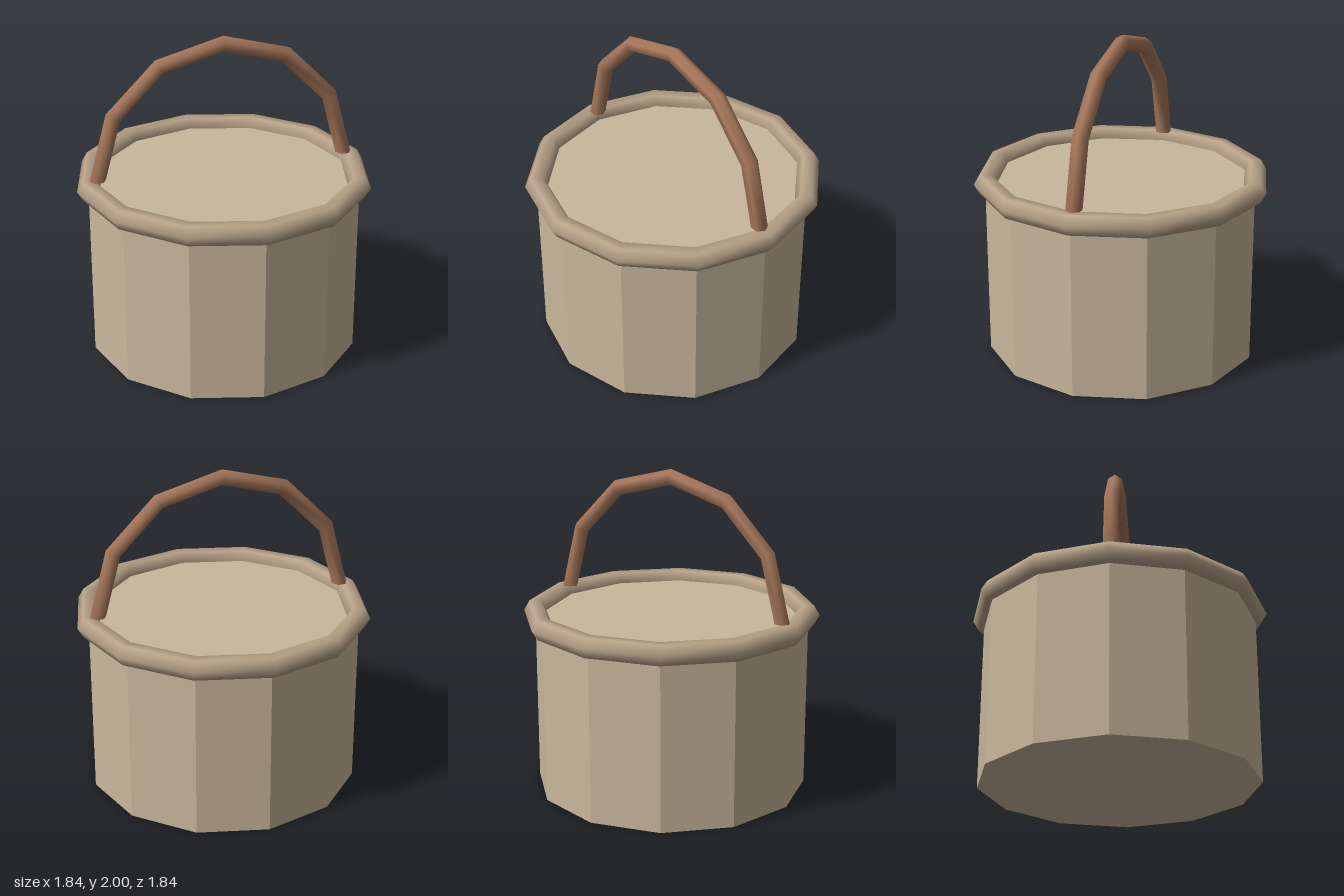
import * as THREE from 'three';

export function createModel() {
  const basket = new THREE.Group();
  basket.name = 'basket';

  const add = (name, geometry, options, y) => {
    const mesh = new THREE.Mesh(geometry, new THREE.MeshStandardMaterial(options));
    mesh.name = name;
    mesh.position.y = y;
    basket.add(mesh);
    return mesh;
  };

  // Twelve-sided closed body
  add('body', new THREE.CylinderGeometry(0.85, 0.85, 1.1, 12),
    { color: 0xc8b79c, flatShading: true }, 0.55);

  // Rolled rim around the top edge
  const rim = add('rim', new THREE.TorusGeometry(0.85, 0.07, 6, 12),
    { color: 0xb8a289 }, 1.1);
  rim.rotation.x = Math.PI / 2;

  // Half-ring handle with open ends resting at rim height
  add('handle', new THREE.TorusGeometry(0.79, 0.05, 6, 6, Math.PI),
    { color: 0xa6775a, side: THREE.DoubleSide }, 1.16);

  return basket;
}
